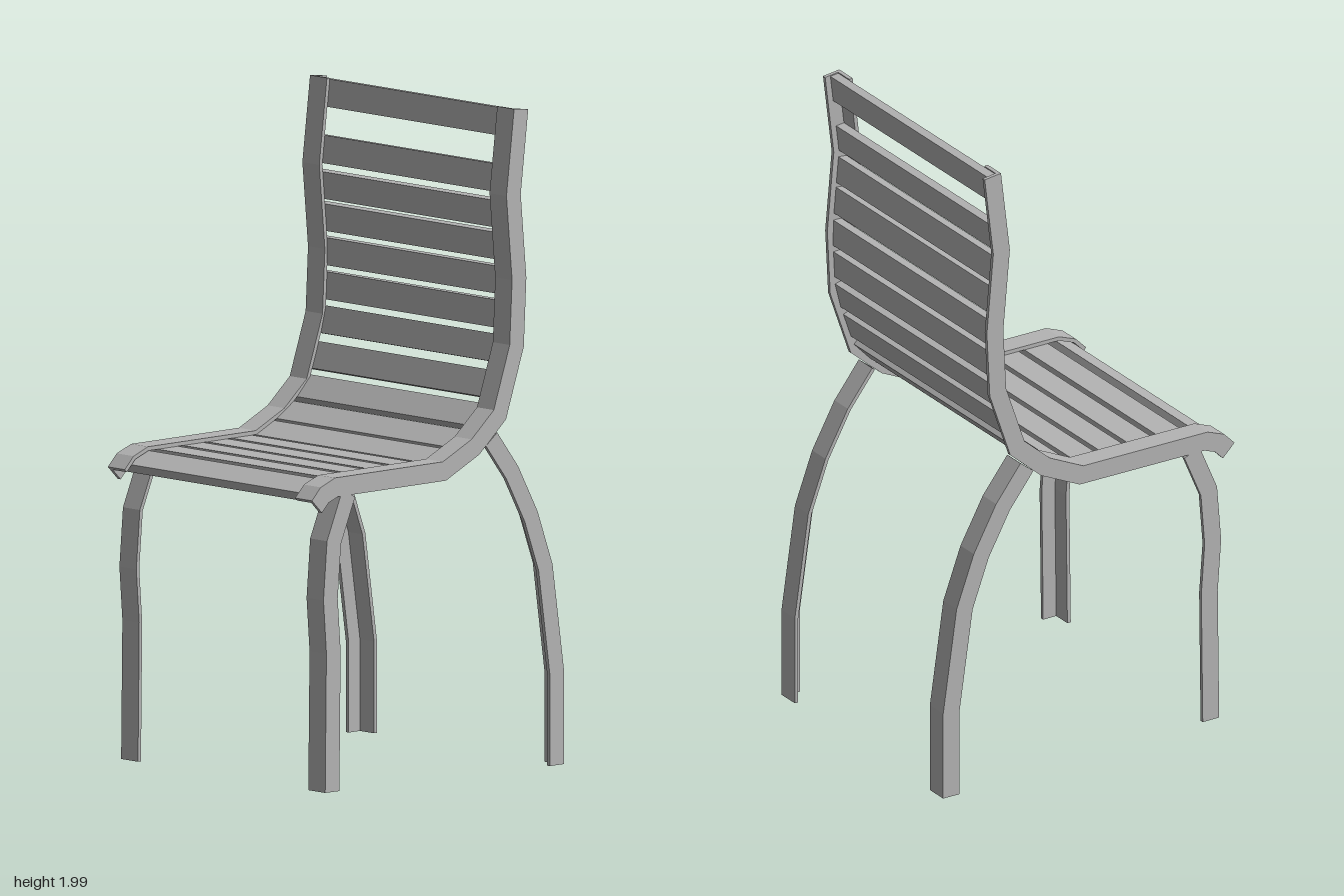
import * as THREE from 'three';

const HALF = 0.029;      // half depth of the angle-section rails
const PLATE = 0.012;     // metal thickness
const OUTER = 0.441, INNER = 0.368;

// Centre lines in the x-y plane
const railPath = [[0.336, 1.99], [0.305, 1.735], [0.328, 1.48], [0.318, 1.28], [0.249, 1.08],
  [0.149, 0.994], [0.022, 0.935], [-0.42, 0.935], [-0.468, 0.917], [-0.5, 0.885]];
const rearLegPath = [[0.215, 1.01], [0.3, 0.9], [0.377, 0.76], [0.436, 0.6], [0.483, 0.275], [0.483, 0]];
const frontLegPath = [[-0.37, 0.91], [-0.43, 0.77], [-0.444, 0.6], [-0.432, 0.44], [-0.437, 0.02]];

const toVectors = (pts) => pts.map(([x, y]) => new THREE.Vector2(x, y));

// Path shifted sideways by d, with mitred corners
function offsetPath(pts, d) {
  const normal = (a, b) => {
    const t = b.clone().sub(a).normalize();
    return new THREE.Vector2(t.y, -t.x);
  };
  return pts.map((p, i) => {
    const n1 = normal(pts[Math.max(i - 1, 0)], pts[Math.max(i, 1)]);
    const n2 = i < pts.length - 1 ? normal(p, pts[i + 1]) : n1;
    const m = n1.clone().add(n2).normalize();
    return p.clone().addScaledVector(m, d / m.dot(n1));
  });
}

// Bent plate between two offsets of a path, spanning z0 to z1
function bentPlate(pts, lo, hi, z0, z1) {
  const outline = [...offsetPath(pts, lo), ...offsetPath(pts, hi).reverse()];
  const geo = new THREE.ExtrudeGeometry(new THREE.Shape(outline), { depth: z1 - z0, bevelEnabled: false });
  return geo.translate(0, 0, z0);
}

// Point at arc length s along a path
function pointAt(pts, s) {
  let i = 0;
  while (i < pts.length - 2 && s > pts[i].distanceTo(pts[i + 1])) {
    s -= pts[i].distanceTo(pts[i + 1]);
    i++;
  }
  return pts[i].clone().lerp(pts[i + 1], s / pts[i].distanceTo(pts[i + 1]));
}

export function createModel() {
  const chair = new THREE.Group();
  chair.name = 'slattedChair';
  const grey = new THREE.MeshStandardMaterial({ color: 0xb4b4b4 });
  grey.name = 'grey';

  // L-section member: outer web plus a flange on the chosen side
  function angleBar(name, path, flangeSide, mirror) {
    const pts = toVectors(path);
    const bar = new THREE.Group();
    bar.name = name;
    const add = (part, lo, hi, zIn, zOut) => {
      const [z0, z1] = mirror > 0 ? [zIn, zOut] : [-zOut, -zIn];
      const mesh = new THREE.Mesh(bentPlate(pts, lo, hi, z0, z1), grey);
      mesh.name = part;
      bar.add(mesh);
    };
    const inner = flangeSide * (HALF - PLATE);
    add('web', -flangeSide * HALF, inner, OUTER - PLATE, OUTER);
    add('flange', inner, flangeSide * HALF, INNER, OUTER);
    chair.add(bar);
  }

  for (const side of [1, -1]) {
    angleBar('sideRail', railPath, 1, side);
    angleBar('rearLeg', rearLegPath, -1, side);
    angleBar('frontLeg', frontLegPath, 1, side);
  }

  // Slats lie beneath the rail flanges, following the curve
  const rail = toVectors(railPath);
  const slatWidth = 0.083, slatThick = 0.028;
  const slatGeo = new THREE.BoxGeometry(slatWidth, slatThick, 2 * (OUTER - PLATE));
  const backSlats = [0.045, 0.213, 0.319, 0.417, 0.522, 0.625, 0.73, 0.84, 0.95];
  const seatSlats = [1.056, 1.153, 1.259, 1.359, 1.459, 1.562, 1.67];
  [...backSlats, ...seatSlats].forEach((s, i) => {
    const a = pointAt(rail, s - slatWidth / 2), b = pointAt(rail, s + slatWidth / 2);
    const t = b.clone().sub(a).normalize();
    const d = HALF - PLATE - slatThick / 2;
    const slat = new THREE.Mesh(slatGeo, grey);
    slat.name = i < backSlats.length ? 'backSlat' : 'seatSlat';
    slat.position.set((a.x + b.x) / 2 + t.y * d, (a.y + b.y) / 2 - t.x * d, 0);
    slat.rotation.z = Math.atan2(t.y, t.x);
    chair.add(slat);
  });

  return chair;
}
